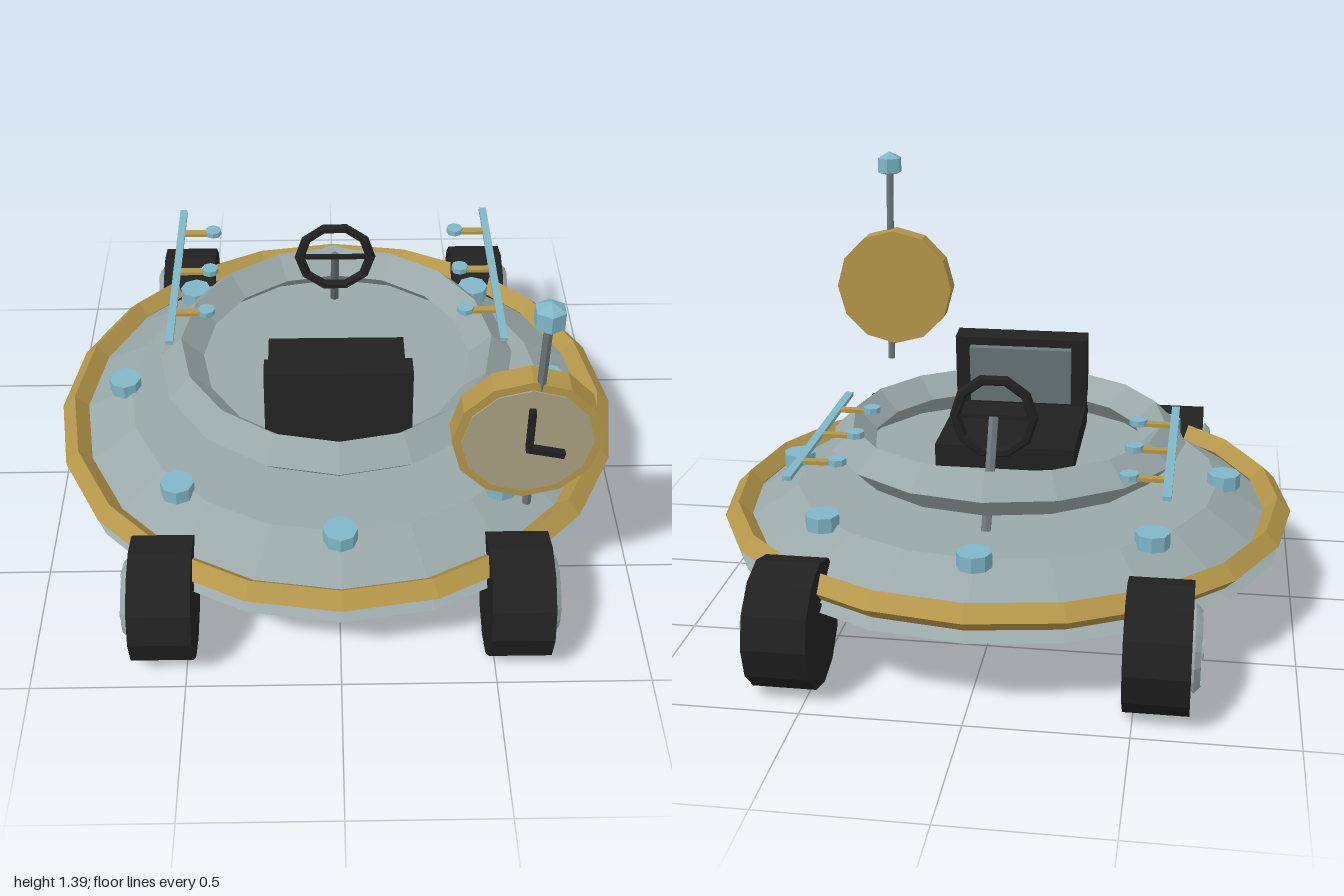
import * as THREE from 'three';

const mat = (name, color, opts = {}) => {
  const m = new THREE.MeshStandardMaterial({ color, flatShading: true, ...opts });
  m.name = name;
  return m;
};

export function createModel() {
  const grey = mat('hull grey', 0x9aa8a9, { side: THREE.DoubleSide });
  const dark = mat('underside dark', 0x3b4747);
  const metal = mat('pole metal', 0x6a7678);
  const gold = mat('gold', 0xb4964a);
  const blue = mat('light blue', 0x80b6c7);
  const black = mat('rubber black', 0x212121);
  const beige = mat('dial beige', 0xaaa182);

  const model = new THREE.Group();
  model.name = 'saucerCar';

  const add = (name, geo, material, x = 0, y = 0, z = 0, parent = model) => {
    const m = new THREE.Mesh(geo, material);
    m.name = name;
    m.position.set(x, y, z);
    parent.add(m);
    return m;
  };
  const lathe = (pts, n) => new THREE.LatheGeometry(pts.map(p => new THREE.Vector2(...p)), n);
  const box = (w, h, d) => new THREE.BoxGeometry(w, h, d);
  const cyl = (r1, r2, h, n) => new THREE.CylinderGeometry(r1, r2, h, n);
  // Straight rod between two points
  const rod = (name, a, b, r, material, n = 6) => {
    const A = new THREE.Vector3(...a), B = new THREE.Vector3(...b);
    const m = add(name, cyl(r, r, A.distanceTo(B), n), material);
    m.position.copy(A).add(B).multiplyScalar(0.5);
    m.quaternion.setFromUnitVectors(new THREE.Vector3(0, 1, 0), B.sub(A).normalize());
    return m;
  };
  // Horizontal ring with a diamond cross-section
  const ring = (name, R, r, n, y, material) => {
    const g = new THREE.TorusGeometry(R, r, 4, n).rotateX(-Math.PI / 2);
    return add(name, g, material, 0, y, 0);
  };

  // Saucer hull
  add('underside', lathe([[0, 0.19], [0.7, 0.19], [0.85, 0.242]], 20), dark);
  add('lowerFlange', lathe([[0.85, 0.242], [0.96, 0.252], [0.89, 0.286]], 20), grey);
  add('upperHull', cyl(0.73, 0.95, 0.14, 20), grey, 0, 0.35, 0);
  ring('bumperRing', 0.936, 0.046, 20, 0.327, gold);
  ring('cockpitRing', 0.54, 0.075, 16, 0.557, grey);

  // Deck lights
  for (let i = 0; i < 8; i++) {
    const a = i * Math.PI / 4;
    add('deckLight', cyl(0.056, 0.056, 0.05, 8), blue,
      0.75 * Math.sin(a), 0.43, 0.75 * Math.cos(a));
  }

  // Wheels, with five-spoked rims on the outer sides
  for (const sx of [-1, 1]) for (const sz of [-1, 1]) {
    const wheel = new THREE.Group();
    wheel.name = 'wheel';
    wheel.position.set(sx * 0.57, 0.203, sz * 0.8);
    wheel.rotation.y = sx * Math.PI / 2; // local +z points outward
    model.add(wheel);
    add('tyre', cyl(0.203, 0.203, 0.2, 12).rotateX(Math.PI / 2), black, 0, 0, 0, wheel);
    add('rim', new THREE.TorusGeometry(0.116, 0.019, 4, 16), grey, 0, 0, 0.108, wheel);
    add('hub', cyl(0.032, 0.032, 0.035, 8).rotateX(Math.PI / 2), grey, 0, 0, 0.117, wheel);
    for (let i = 0; i < 5; i++) {
      const a = i * Math.PI * 2 / 5;
      const s = add('spoke', box(0.022, 0.105, 0.025), grey,
        -0.06 * Math.sin(a), 0.06 * Math.cos(a), 0.117, wheel);
      s.rotation.z = a;
    }
  }

  // Side rails with pegs
  for (const sx of [-1, 1]) {
    add('sideRail', box(0.027, 0.014, 0.81), blue, sx * 0.576, 0.66, -0.345);
    for (const z of [-0.6, -0.355, -0.11]) {
      add('railPeg', box(0.13, 0.012, 0.028), gold, sx * 0.525, 0.66, z);
      add('railKnob', cyl(0.03, 0.03, 0.02, 8), blue, sx * 0.456, 0.666, z);
    }
  }

  // Seat facing -z
  add('seatBase', box(0.48, 0.08, 0.52), black, 0, 0.507, 0.16);
  const back = new THREE.Group();
  back.name = 'seatBack';
  back.position.set(0, 0.65, 0.392);
  back.rotation.x = -0.1;
  model.add(back);
  add('backrest', box(0.48, 0.32, 0.086), black, 0, 0, 0, back);
  add('backrestPad', box(0.37, 0.21, 0.03), metal, 0, 0.025, -0.056, back);

  // Steering
  add('steeringWheel', new THREE.TorusGeometry(0.128, 0.018, 6, 10), black, 0, 0.74, -0.328);
  rod('steeringColumn', [0, 0.74, -0.335], [0, 0.415, -0.515], 0.017, metal);
  add('steeringCrossbar', box(0.25, 0.016, 0.012), black, 0, 0.74, -0.328);

  // Clock on its mast
  const clock = new THREE.Group();
  clock.name = 'clock';
  clock.position.set(0.553, 0.873, 0.77);
  model.add(clock);
  add('clockCase', cyl(0.226, 0.226, 0.08, 12).rotateX(Math.PI / 2), gold, 0, 0, 0, clock);
  add('clockFace', cyl(0.198, 0.198, 0.008, 12).rotateX(Math.PI / 2), beige, 0, 0, 0.041, clock);
  add('minuteHand', box(0.02, 0.155, 0.022), black, 0, 0.07, 0.072, clock);
  const hour = add('hourHand', box(0.115, 0.02, 0.022), black, 0.05, -0.011, 0.072, clock);
  hour.rotation.z = -0.22;
  rod('clockMast', [0.577, 0.575, 0.762], [0.577, 1.32, 0.815], 0.014, metal);
  add('mastLamp', lathe([[0, 1.3], [0.047, 1.315], [0.047, 1.37], [0, 1.395]], 6), blue,
    0.577, 0, 0.815);

  return model;
}
